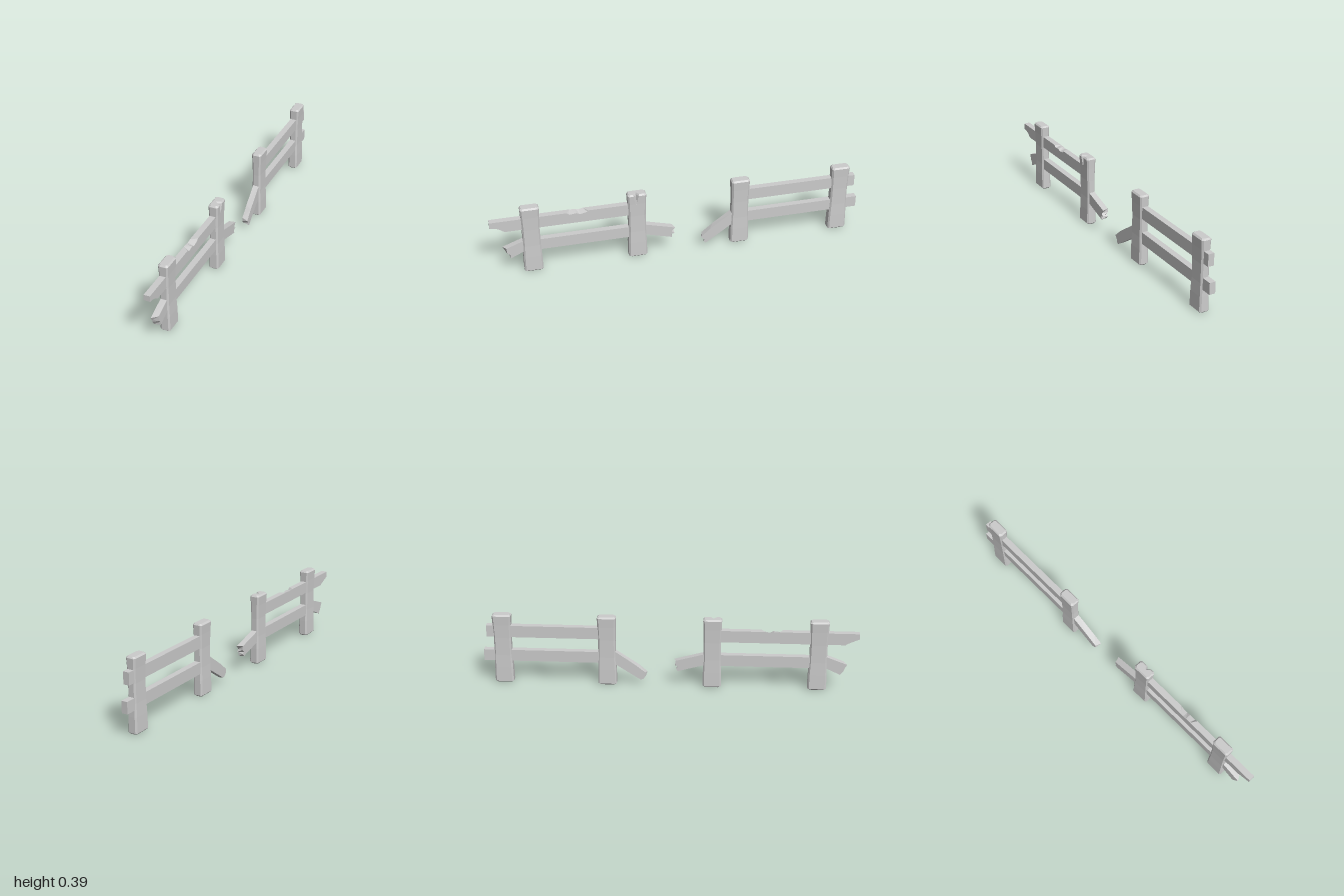
import * as THREE from 'three';

const material = new THREE.MeshStandardMaterial({ color: 0xcccccc, flatShading: true });

function meshFrom(name, positions) {
  const geo = new THREE.BufferGeometry();
  geo.setAttribute('position', new THREE.Float32BufferAttribute(positions, 3));
  geo.computeVertexNormals();
  const mesh = new THREE.Mesh(geo, material);
  mesh.name = name;
  return mesh;
}

// Post heights with half-widths in x and z: chamfered ends and a slim waist
const POST_RINGS = [
  [0, 0.019, 0.042], [0.008, 0.027, 0.05], [0.09, 0.0255, 0.049], [0.16, 0.023, 0.0465],
  [0.26, 0.0225, 0.046], [0.335, 0.0245, 0.048], [0.385, 0.027, 0.05], [0.393, 0.02, 0.043],
];

// Chamfered post; notch is the depth of a V-shaped split in the top of its +x face
function post(name, z0, notch = 0) {
  const rings = POST_RINGS.map(([y, a, b]) => {
    const c = 0.008;
    const t = Math.max(0, (y - 0.335) / 0.058);
    const w = 0.002 + 0.014 * t;
    return [
      [a - c, b], [a, b - c], [a, 0.006 + w], [a - notch * t, 0.004], [a, 0.006 - w], [a, c - b], [a - c, -b],
      [c - a, -b], [-a, c - b], [-a, b - c], [c - a, b],
    ].map(([x, z]) => [x, y, z + z0]);
  });
  const out = [];
  const tri = (...pts) => pts.forEach((p) => out.push(...p));
  const n = rings[0].length;
  const top = rings.length - 1;
  for (let i = 0; i < n; i++) {
    const j = (i + 1) % n;
    for (let k = 0; k < top; k++) {
      const [a, b] = [rings[k], rings[k + 1]];
      tri(a[i], a[j], b[j]);
      tri(a[i], b[j], b[i]);
    }
    tri([-0.006, 0.393, z0], rings[top][i], rings[top][j]);
    tri([-0.006, 0, z0], rings[0][j], rings[0][i]);
  }
  return meshFrom(name, out);
}

// Plank joining two [z, y] outlines of equal length, one on each side face
function plank(name, right, left = right, tilt = 0) {
  const out = [];
  const place = (outline, x) => outline.map(([z, y], i) => [x + (tilt ? tilt(z) : 0), y, z]);
  const flip = THREE.ShapeUtils.area(right.map(([z, y]) => new THREE.Vector2(-z, y))) < 0;
  if (flip) {
    right = [...right].reverse();
    left = [...left].reverse();
  }
  const R = place(right, 0.015);
  const L = place(left, -0.018);
  const tri = (...pts) => pts.forEach((p) => out.push(...p));
  const faces = (o) => THREE.ShapeUtils.triangulateShape(o.map(([z, y]) => new THREE.Vector2(-z, y)), []);
  faces(right).forEach(([a, b, c]) => tri(R[a], R[b], R[c]));
  faces(left).forEach(([a, b, c]) => tri(L[c], L[b], L[a]));
  R.forEach((p, i) => {
    const j = (i + 1) % R.length;
    tri(p, L[i], L[j]);
    tri(p, L[j], R[j]);
  });
  return meshFrom(name, out);
}

const bar = (z0, z1, y0, y1) => [[z0, y0], [z1, y0], [z1, y1], [z0, y1]];

export function createModel() {
  const fence = new THREE.Group();
  fence.name = 'brokenFence';

  // Front section
  const front = new THREE.Group();
  front.name = 'frontSection';
  front.add(
    post('outerPost', 0.79),
    post('splitPost', 0.228, 0.024),
    // Upper rail with a snapped end and a chip along its top edge
    plank('chippedUpperRail',
      [[0.228, 0.265], [0.925, 0.265], [0.945, 0.28], [0.965, 0.291], [1, 0.298], [1, 0.33],
        [0.6, 0.33], [0.585, 0.318], [0.55, 0.323], [0.53, 0.313], [0.49, 0.322], [0.485, 0.33], [0.228, 0.33]],
      [[0.228, 0.265], [0.93, 0.265], [0.937, 0.272], [0.97, 0.287], [1, 0.3], [1, 0.33],
        [0.58, 0.33], [0.575, 0.329], [0.55, 0.329], [0.53, 0.325], [0.51, 0.329], [0.505, 0.33], [0.228, 0.33]]),
    plank('lowerRail', bar(0.228, 0.79, 0.127, 0.19)),
    // Drooping splintered stubs at both ends of the lower rail
    plank('outerStub',
      [[0.79, 0.145], [0.837, 0.126], [0.906, 0.094], [0.908, 0.115], [0.922, 0.128], [0.925, 0.158], [0.837, 0.192], [0.79, 0.21]],
      [[0.79, 0.145], [0.837, 0.126], [0.91, 0.092], [0.925, 0.112], [0.932, 0.13], [0.944, 0.152], [0.837, 0.192], [0.79, 0.21]]),
    plank('innerStub',
      [[0.228, 0.14], [0.179, 0.127], [0.04, 0.088], [0.044, 0.108], [0.027, 0.112], [0.042, 0.125], [0.024, 0.147], [0.179, 0.19], [0.228, 0.203]],
      [[0.228, 0.14], [0.179, 0.127], [0.046, 0.09], [0.034, 0.104], [0.045, 0.115], [0.03, 0.13], [0.034, 0.15], [0.179, 0.19], [0.228, 0.203]]),
  );

  // Back section
  const back = new THREE.Group();
  back.name = 'backSection';
  back.add(
    post('innerPost', -0.335),
    post('endPost', -0.896),
    plank('upperRail', bar(-0.335, -0.98, 0.265, 0.33)),
    plank('lowerRail', bar(-0.335, -1, 0.127, 0.19)),
    // Steeply fallen stub, swung slightly sideways
    plank('fallenStub',
      [[-0.335, 0.15], [-0.286, 0.117], [-0.147, 0.024], [-0.135, 0.033], [-0.138, 0.045], [-0.12, 0.066], [-0.17, 0.11], [-0.286, 0.19], [-0.335, 0.224]],
      [[-0.335, 0.15], [-0.286, 0.117], [-0.155, 0.03], [-0.142, 0.035], [-0.128, 0.052], [-0.13, 0.074], [-0.19, 0.122], [-0.286, 0.19], [-0.335, 0.224]],
      (z) => 0.03 * (z + 0.335)),
  );

  fence.add(front, back);
  return fence;
}
